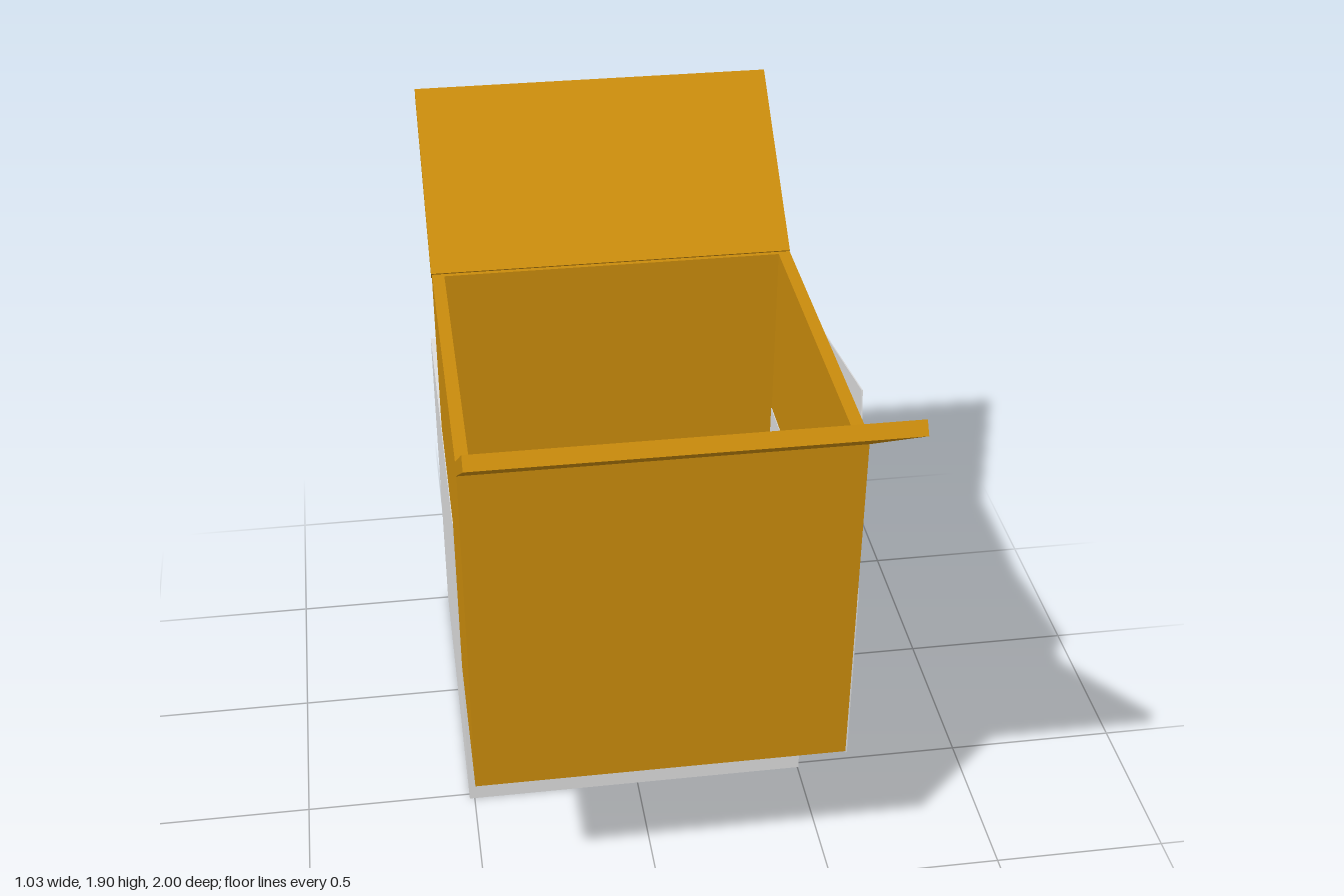
import * as THREE from 'three';

const material = (name, color) => new THREE.MeshStandardMaterial({ name, color });

// Extrudes a [z, y] outline along x, from x0 to x1
function extrudeX(outline, x0, x1) {
  const shape = new THREE.Shape(outline.map(([z, y]) => new THREE.Vector2(z, y)));
  const geo = new THREE.ExtrudeGeometry(shape, { depth: x1 - x0, bevelEnabled: false });
  return geo.rotateY(-Math.PI / 2).translate(x1, 0, 0);
}

function rectangle(PathType, x0, x1, z0, z1) {
  return new PathType([[x0, -z1], [x1, -z1], [x1, -z0], [x0, -z0]].map(([x, y]) => new THREE.Vector2(x, y)));
}

// Open-topped carton: a ring of four walls and a floor
function openBox(name, mat, x0, x1, y0, y1, z0, z1, t) {
  const group = new THREE.Group();
  group.name = name;
  const ring = rectangle(THREE.Shape, x0, x1, z0, z1);
  ring.holes.push(rectangle(THREE.Path, x0 + t, x1 - t, z0 + t, z1 - t));
  const walls = new THREE.Mesh(
    new THREE.ExtrudeGeometry(ring, { depth: y1 - y0, bevelEnabled: false }).rotateX(-Math.PI / 2).translate(0, y0, 0), mat);
  walls.name = 'walls';
  const floor = new THREE.Mesh(
    new THREE.BoxGeometry(x1 - x0 - 2 * t, t, z1 - z0 - 2 * t)
      .translate((x0 + x1) / 2, y0 + t / 2, (z0 + z1) / 2), mat);
  floor.name = 'floor';
  group.add(walls, floor);
  return group;
}

export function createModel() {
  const model = new THREE.Group();
  model.name = 'cartons';
  const cardboard = material('cardboard', 0xc98b0c);
  const grey = material('lightGrey', 0xdcdcdc);
  const add = (parent, name, geo, mat) => {
    const mesh = new THREE.Mesh(geo, mat);
    mesh.name = name;
    parent.add(mesh);
  };

  // Lower carton, standing behind
  model.add(openBox('greyCarton', grey, -0.515, 0.503, 0, 1.025, -1, 0.02, 0.034));

  // Upper carton, with two raised flaps
  const upper = openBox('cardboardCarton', cardboard, -0.513, 0.505, 0.515, 1.54, -0.48, 0.53, 0.034);
  add(upper, 'frontFlap', extrudeX([[0.528, 1.52], [1, 1.845], [0.978, 1.875], [0.505, 1.545]], -0.515, 0.505), cardboard);
  add(upper, 'backFlap', extrudeX([[-0.478, 1.52], [-0.455, 1.545], [-0.912, 1.9], [-0.935, 1.872]], -0.515, 0.505), cardboard);
  model.add(upper);

  // Thin side panel with a tilted top and triangular cut-outs along its lower edge
  add(model, 'sidePanel', extrudeX([
    [0.535, 0.515], [0.055, 0.515], [0.055, 0.665], [-0.15, 0.515], [-0.275, 0.515],
    [-0.382, 0.665], [-0.455, 0.515], [-0.53, 0.515], [-0.53, 1.025], [-0.122, 1.32],
    [-0.157, 1.51], [0.06, 1.545], [0.42, 1.61], [0.53, 1.03],
  ], 0.505, 0.508), grey);

  // Small raised patch on the side panel
  add(model, 'sidePatch', extrudeX([[0.42, 1.32], [0.42, 1.455], [0.32, 1.455], [0.32, 1.32]], 0.508, 0.514), grey);

  return model;
}
